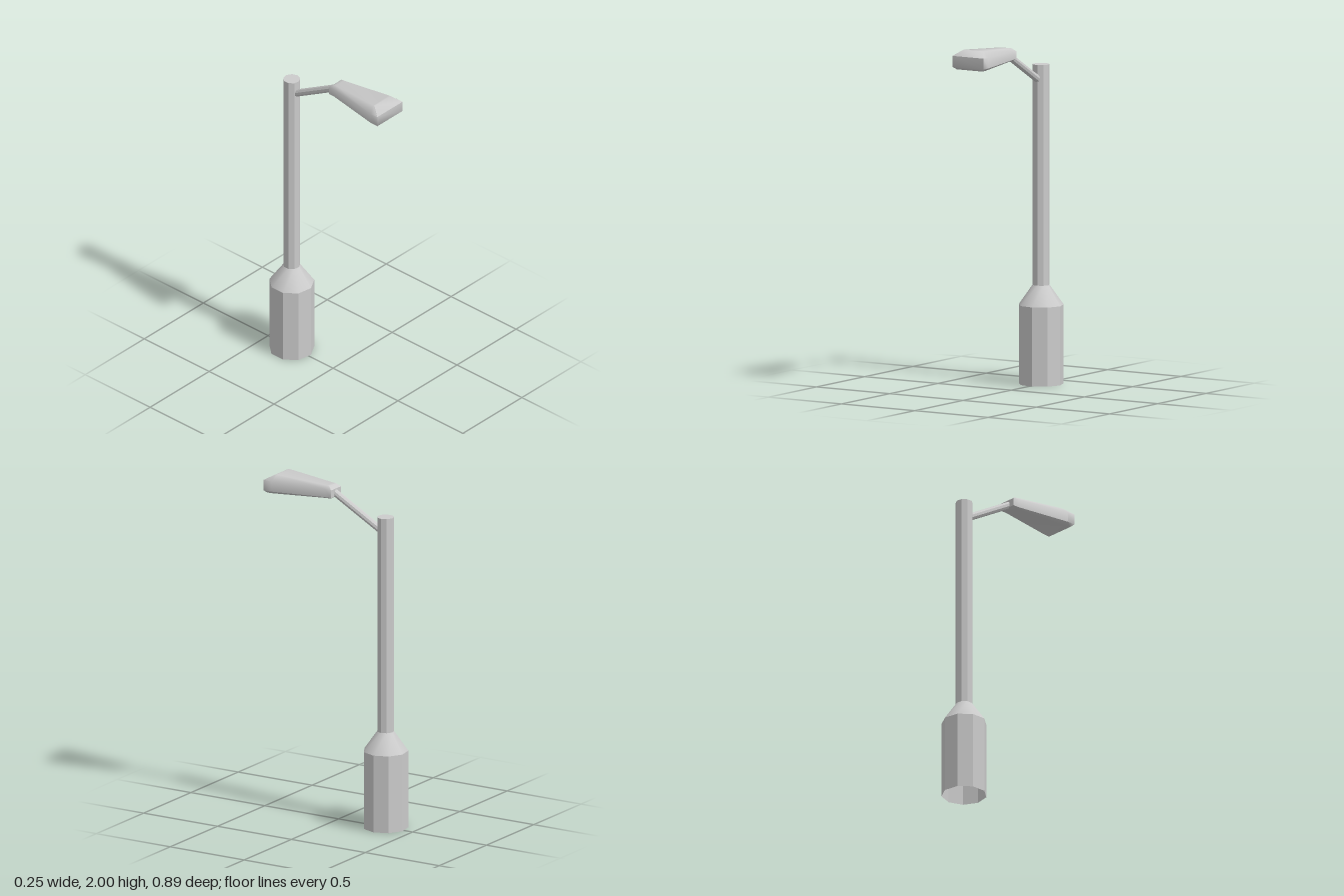
import * as THREE from 'three';
import { toCreasedNormals } from 'three/addons/utils/BufferGeometryUtils.js';

const SIDES = 9;
const CX = -0.004; // shared centre line of the lamp
const POLE_Z = -0.315;

const smooth = new THREE.MeshStandardMaterial({ color: 0xcccccc, side: THREE.DoubleSide });
const flat = new THREE.MeshStandardMaterial({ color: 0xcccccc, side: THREE.DoubleSide, flatShading: true });

function part(group, name, geometry, material) {
  const mesh = new THREE.Mesh(geometry, material);
  mesh.name = name;
  group.add(mesh);
  return mesh;
}

// Upright nine-sided tube between two heights, with a corner on +x
function column(group, name, rBottom, rTop, y0, y1, open, material) {
  const g = new THREE.CylinderGeometry(rTop, rBottom, y1 - y0, SIDES, 1, open, Math.PI / 2);
  part(group, name, g, material).position.set(CX, (y0 + y1) / 2, POLE_Z);
}

// Lamp head: stacked outlines, narrow at the back and wide at the front
function headGeometry() {
  // back half-width, z, y; front half-width, z, y; straight lengths at back and front
  const layers = [
    [0.042, 0.03, 1.905, 0.088, 0.425, 1.89, 0.03, 0.035],
    [0.053, 0.02, 1.912, 0.107, 0.442, 1.905, 0.04, 0.052],
    [0.053, 0.02, 1.957, 0.107, 0.442, 1.968, 0.04, 0.052],
    [0.035, 0.045, 1.976, 0.068, 0.385, 2.0, 0.015, 0.01],
  ];
  const position = [];
  for (const [wb, zb, yb, wf, zf, yf, sb, sf] of layers) {
    const right = [[wb, zb], [wb, zb + sb], [wf, zf - sf], [wf, zf]];
    const left = right.map(([w, z]) => [-w, z]).reverse();
    for (const [x, z] of [...right, ...left]) {
      position.push(x, yb + (yf - yb) * (z - zb) / (zf - zb), z);
    }
  }
  const index = [];
  // side walls
  for (let i = 0; i < layers.length - 1; i++) {
    for (let j = 0; j < 8; j++) {
      const a = i * 8 + j, b = i * 8 + (j + 1) % 8;
      index.push(a, a + 8, b + 8, a, b + 8, b);
    }
  }
  // bottom and top, closed in cross strips
  const t = (layers.length - 1) * 8;
  for (let j = 0; j < 3; j++) {
    const r0 = j, r1 = j + 1, l1 = 6 - j, l0 = 7 - j;
    index.push(r0, r1, l1, r0, l1, l0);
    index.push(t + r0, t + l1, t + r1, t + r0, t + l0, t + l1);
  }
  const g = new THREE.BufferGeometry();
  g.setAttribute('position', new THREE.Float32BufferAttribute(position, 3));
  g.setIndex(index);
  return toCreasedNormals(g, 0.9);
}

export function createModel() {
  const group = new THREE.Group();
  group.name = 'streetLamp';

  // Hollow base, tapered collar and pole
  column(group, 'base', 0.13, 0.13, 0, 0.455, true, flat);
  column(group, 'collar', 0.13, 0.049, 0.455, 0.57, true, smooth);
  column(group, 'pole', 0.049, 0.049, 0.57, 1.84, false, flat);

  // Sloping arm from the pole to the head
  const from = new THREE.Vector3(CX, 1.758, -0.28);
  const to = new THREE.Vector3(CX, 1.935, 0.035);
  const armGeometry = new THREE.CylinderGeometry(0.021, 0.021, from.distanceTo(to), SIDES, 1, false, Math.PI / 2);
  const arm = part(group, 'arm', armGeometry, flat);
  arm.position.copy(from).lerp(to, 0.5);
  arm.quaternion.setFromUnitVectors(new THREE.Vector3(0, 1, 0), to.clone().sub(from).normalize());

  // Lamp head
  part(group, 'lampHead', headGeometry(), smooth).position.x = CX;

  return group;
}
